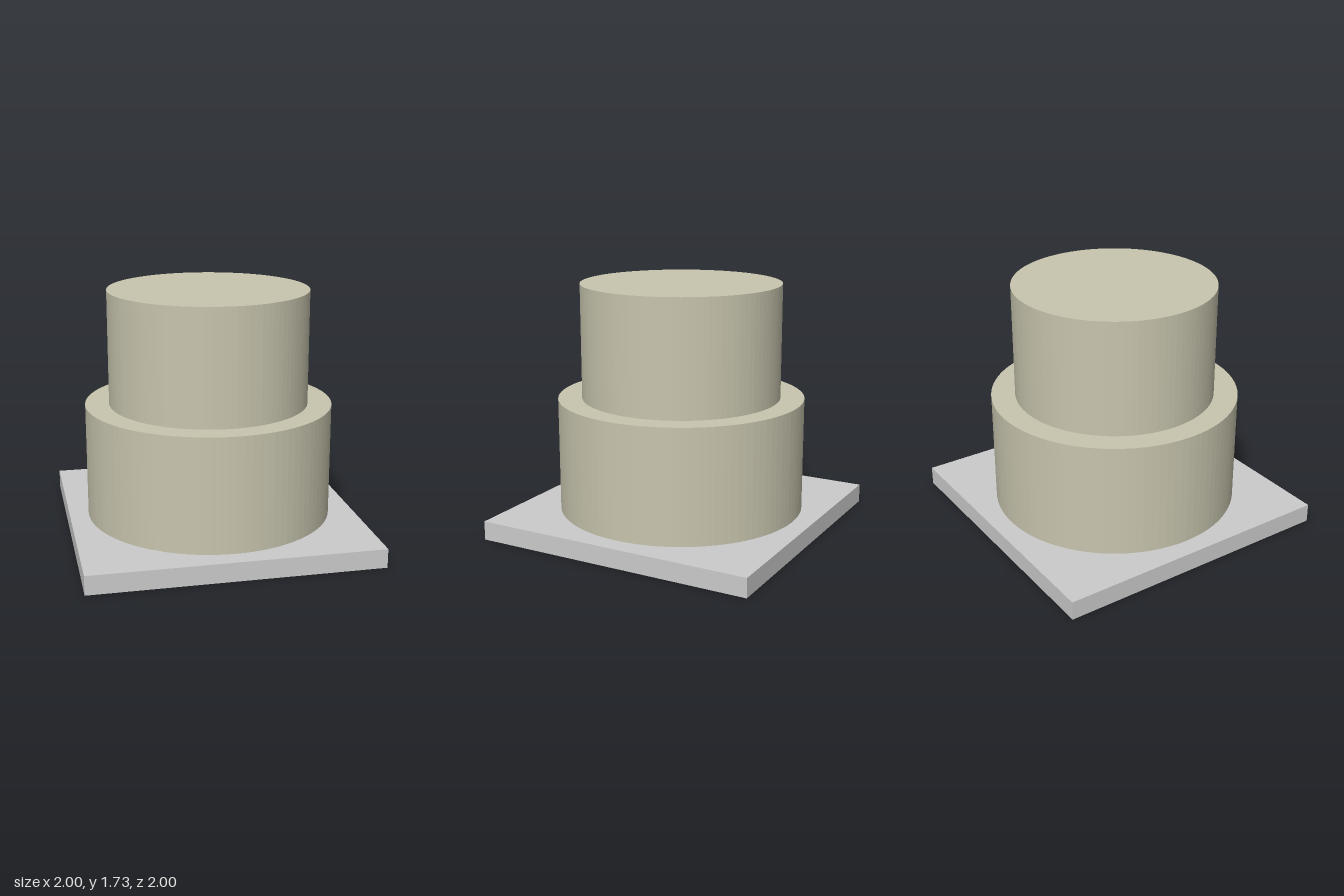
import * as THREE from 'three';

const BOARD_TOP = 0.133;
const TIER_HEIGHT = 0.8;

export function createModel() {
  const group = new THREE.Group();
  const grey = new THREE.MeshStandardMaterial({ color: 0xcccccc });
  const icing = new THREE.MeshStandardMaterial({ color: 0xc8c5ae, flatShading: true });

  function add(name, geometry, material, x, y, z) {
    const mesh = new THREE.Mesh(geometry, material);
    mesh.name = name;
    mesh.position.set(x, y, z);
    group.add(mesh);
  }

  // Square board
  add('cakeBoard', new THREE.BoxGeometry(2, BOARD_TOP, 2), grey, 0, BOARD_TOP / 2, 0);

  // Two stacked round tiers
  [['lowerTier', 0.865], ['upperTier', 0.698]].forEach(([name, radius], i) => {
    const y = BOARD_TOP + TIER_HEIGHT * (i + 0.5);
    add(name, new THREE.CylinderGeometry(radius, radius, TIER_HEIGHT, 100), icing, 0, y, 0);
  });

  // Thin blank label lying on the front corner of the board
  const label = new THREE.PlaneGeometry(0.48, 0.24).rotateX(-Math.PI / 2);
  add('label', label, grey, -0.7, BOARD_TOP + 0.002, 0.815);

  return group;
}
